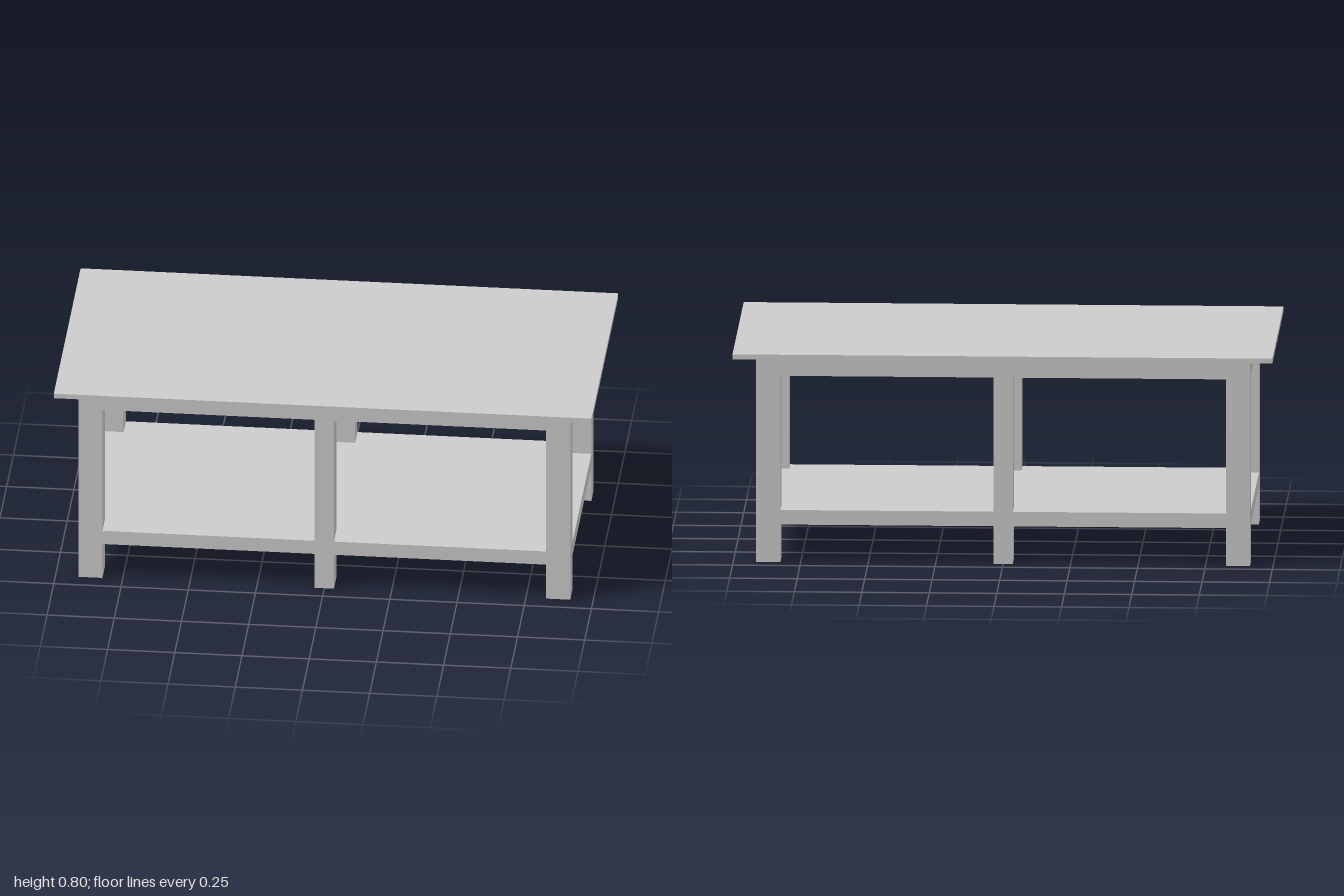
import * as THREE from 'three';

export function createModel() {
  const group = new THREE.Group();
  const material = new THREE.MeshStandardMaterial({ color: 0xcccccc, flatShading: true });

  // Box given by its extents on each axis
  const addBox = (name, [x0, x1], [y0, y1], [z0, z1]) => {
    const mesh = new THREE.Mesh(new THREE.BoxGeometry(x1 - x0, y1 - y0, z1 - z0), material);
    mesh.position.set((x0 + x1) / 2, (y0 + y1) / 2, (z0 + z1) / 2);
    mesh.name = name;
    group.add(mesh);
  };
  // Extents mirrored to the chosen side
  const side = (s, a, b) => (s > 0 ? [a, b] : [-b, -a]);

  const X = 0.915, XI = 0.825;   // outer and inner faces of the corner legs
  const Z = 0.437, ZI = 0.351;
  const MID = 0.036;             // half width of the middle legs
  const UNDER = 0.776, TOP = 0.795;
  const RAIL = [0.703, UNDER], SHELF = [0.142, 0.197];

  addBox('tabletop', [-1, 1], [UNDER, TOP], [-0.5, 0.5]);

  for (const sz of [-1, 1]) {
    const z = side(sz, ZI, Z);
    addBox('middleLeg', [-MID, MID], [0, UNDER], z);
    for (const sx of [-1, 1]) {
      addBox('cornerLeg', side(sx, XI, X), [0, UNDER], z);
      addBox('longApron', side(sx, MID, XI), RAIL, z);
      // Shelf edge strips fitted between the legs
      addBox('shelfEdge', side(sx, MID, XI), SHELF, z);
    }
  }

  // End aprons and the crossbeam under the middle of the top
  for (const sx of [-1, 1]) addBox('endApron', side(sx, XI, X), RAIL, [-ZI, ZI]);
  addBox('crossbeam', [-MID, MID], RAIL, [-ZI, ZI]);

  // Lower shelf, flush with the outside of the legs
  addBox('shelf', [-X, X], SHELF, [-ZI, ZI]);

  return group;
}
